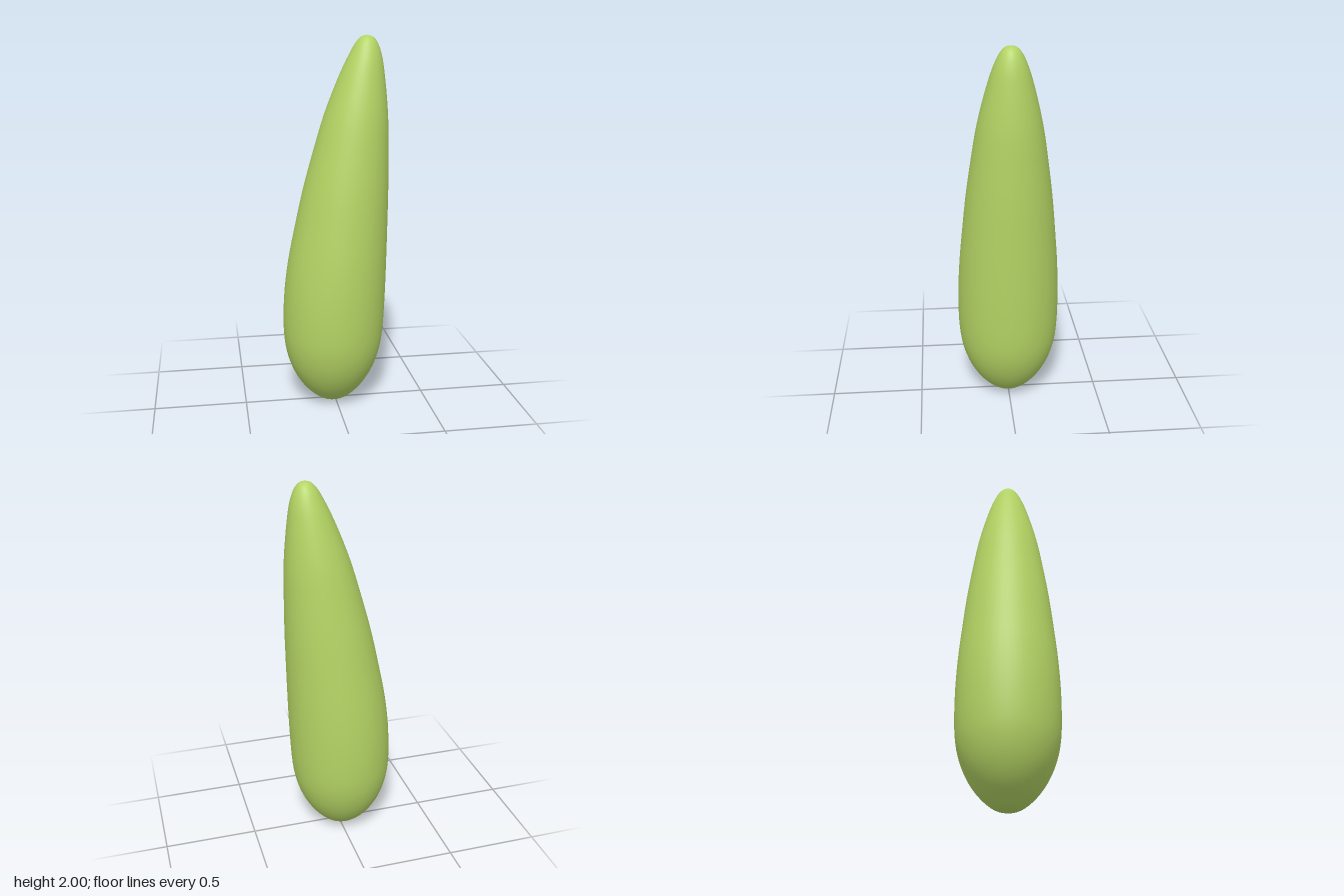
import * as THREE from 'three';
import { mergeVertices } from 'three/addons/utils/BufferGeometryUtils.js';

// Round cross-sections from base to tip: [radius, height, sideways shift of centre]
const SECTIONS = [
  [0, 0, -0.015], [0.05, 0.007, -0.015], [0.1, 0.035, -0.015], [0.165, 0.1, -0.016], [0.22, 0.19, -0.015],
  [0.255, 0.29, -0.013], [0.272, 0.4, -0.011], [0.276, 0.6, -0.003], [0.267, 0.8, 0.012],
  [0.249, 1.0, 0.034], [0.228, 1.2, 0.058], [0.2, 1.4, 0.085], [0.167, 1.6, 0.113],
  [0.118, 1.8, 0.143], [0.086, 1.9, 0.159], [0.055, 1.965, 0.166], [0.028, 1.993, 0.168], [0, 2, 0.168],
];

function leaningBody() {
  const curve = new THREE.CatmullRomCurve3(SECTIONS.map((s) => new THREE.Vector3(...s)));
  const points = curve.getPoints(68);
  const profile = points.map((p, i) =>
    new THREE.Vector2(i === 0 || i === points.length - 1 ? 0 : Math.max(p.x, 0), p.y));
  const geometry = new THREE.LatheGeometry(profile, 48);

  // Slide each ring sideways so the body leans toward its tip
  const pos = geometry.attributes.position;
  for (let i = 0; i < pos.count; i++) {
    pos.setX(i, pos.getX(i) + points[i % points.length].z);
  }

  // Weld the seam and poles for smooth shading all round
  geometry.deleteAttribute('uv');
  geometry.deleteAttribute('normal');
  const welded = mergeVertices(geometry, 1e-5);
  welded.computeVertexNormals();
  return welded;
}

export function createModel() {
  const model = new THREE.Group();
  model.name = 'seedPod';
  const body = new THREE.Mesh(leaningBody(), new THREE.MeshStandardMaterial({ color: 0xb4d464 }));
  body.name = 'podBody';
  model.add(body);
  return model;
}
